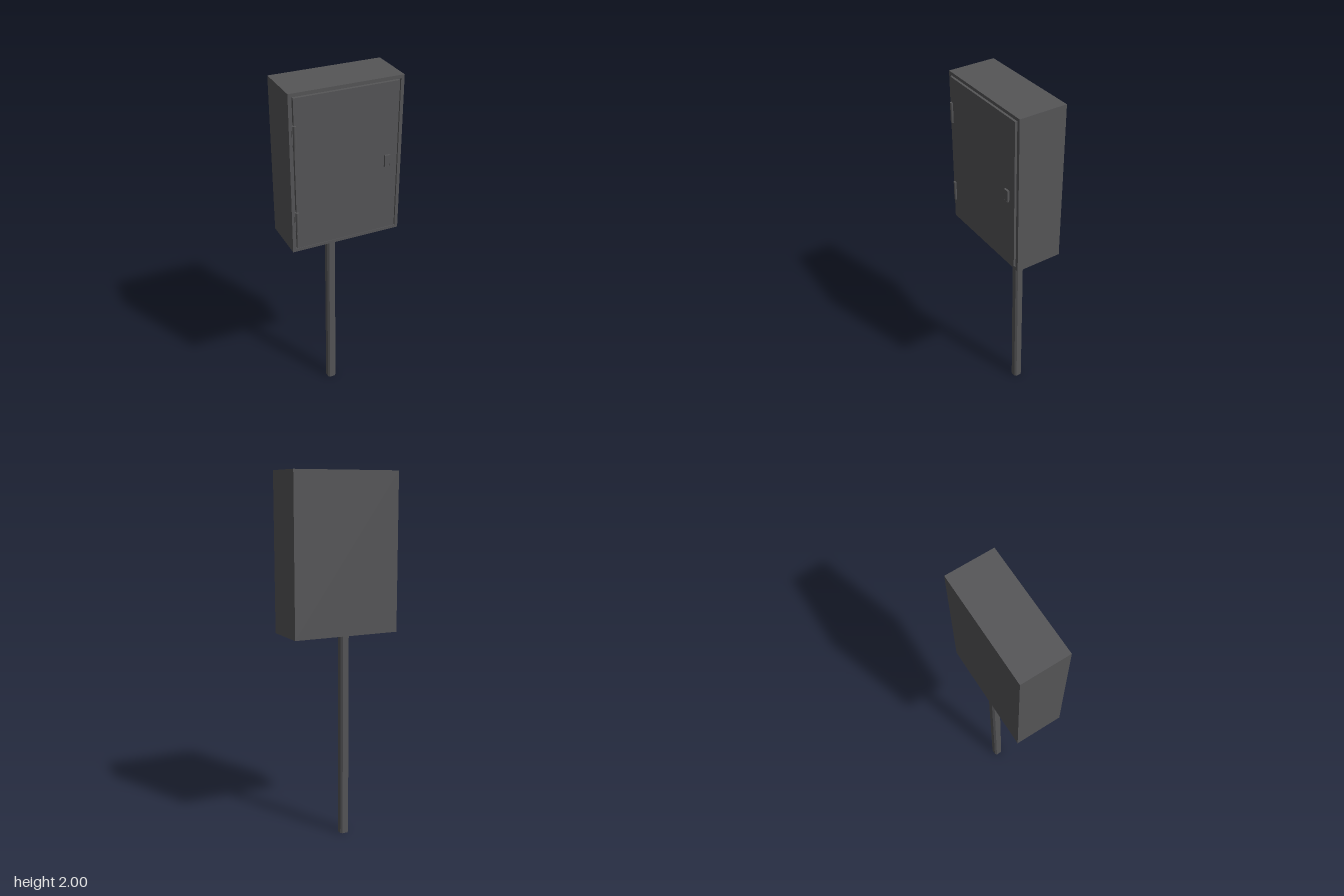
import * as THREE from 'three';

export function createModel() {
  const group = new THREE.Group();
  const paint = new THREE.MeshStandardMaterial({ color: 0x555557 });

  function add(name, geometry, x, y, z) {
    const mesh = new THREE.Mesh(geometry, paint);
    mesh.name = name;
    mesh.position.set(x, y, z);
    group.add(mesh);
    return mesh;
  }
  // Rectangle outline centred on the origin
  function rect(Type, w, h) {
    const [a, b] = [w / 2, h / 2];
    return new Type([[-a, -b], [a, -b], [a, b], [-a, b]].map(p => new THREE.Vector2(...p)));
  }

  // Cabinet: closed box with a rim framing the door opening
  const width = 0.61, height = 0.865, midY = 1.5675;
  add('cabinetBody', new THREE.BoxGeometry(width, height, 0.252), 0, midY, -0.014);
  const rim = rect(THREE.Shape, width, height);
  rim.holes.push(rect(THREE.Path, 0.574, 0.832));
  add('doorFrame', new THREE.ExtrudeGeometry(rim, { depth: 0.01, bevelEnabled: false }), 0, midY, 0.112);

  // Door sits in the opening with a narrow gap all round
  add('door', new THREE.BoxGeometry(0.56, 0.82, 0.016), -0.002, midY, 0.12);

  // Hinge barrels with the leaf bridging the gap
  for (const y of [1.785, 1.315]) {
    add('hingeBarrel', new THREE.CylinderGeometry(0.009, 0.009, 0.11, 12), -0.279, y, 0.13);
    add('hingeLeaf', new THREE.BoxGeometry(0.016, 0.11, 0.012), -0.283, y, 0.119);
  }

  // Latch: raised surround with a shallow handle plate inside
  const surround = rect(THREE.Shape, 0.03, 0.064);
  surround.holes.push(rect(THREE.Path, 0.022, 0.056));
  add('latchSurround', new THREE.ExtrudeGeometry(surround, { depth: 0.012, bevelEnabled: false }), 0.22, 1.558, 0.127);
  add('latchHandle', new THREE.BoxGeometry(0.022, 0.056, 0.011), 0.22, 1.558, 0.1325);

  // Square post with chamfered corners
  const a = 0.025, c = 0.015;
  const section = new THREE.Shape(
    [[a, -c], [a, c], [c, a], [-c, a], [-a, c], [-a, -c], [-c, -a], [c, -a]].map(p => new THREE.Vector2(...p))
  );
  const post = add('post', new THREE.ExtrudeGeometry(section, { depth: 1.14, bevelEnabled: false }), 0, 0, -0.093);
  post.rotation.x = -Math.PI / 2;

  return group;
}
